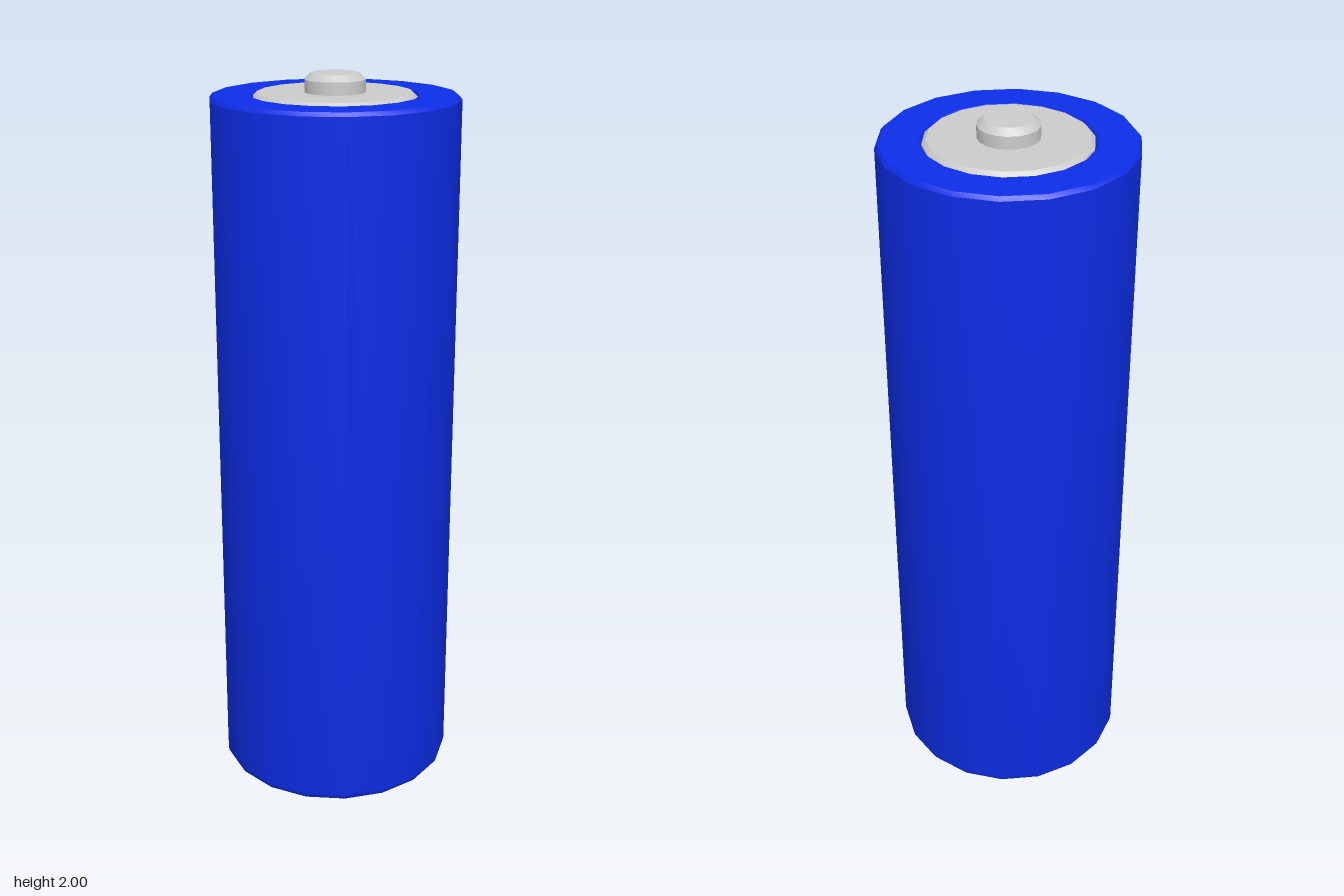
import * as THREE from 'three';
import { toCreasedNormals } from 'three/addons/utils/BufferGeometryUtils.js';

const SIDES = 18;

// Revolves a profile of [radius, y] pairs, listed from bottom to top
function turned(name, profile, material) {
  const points = profile.map(([r, y]) => new THREE.Vector2(r, y));
  const lathe = new THREE.LatheGeometry(points, SIDES, Math.PI / 2);
  // Smooth around the axis, sharp at the bevels
  const mesh = new THREE.Mesh(toCreasedNormals(lathe, 0.5), material);
  mesh.name = name;
  return mesh;
}

export function createModel() {
  const group = new THREE.Group();
  group.name = 'battery';

  const blue = new THREE.MeshStandardMaterial({ color: 0x0d2de8 });
  const grey = new THREE.MeshStandardMaterial({ color: 0xcccccc });

  // Casing: rounded lower edge, straight wall, bevelled rim and shallow recess
  const casing = [[0, 0]];
  const round = 0.03;
  for (let i = 0; i <= 4; i++) {
    const a = (i / 4) * Math.PI / 2;
    casing.push([0.33 - round + round * Math.sin(a), round - round * Math.cos(a)]);
  }
  casing.push([0.33, 1.935], [0.322, 1.945], [0.222, 1.945], [0.216, 1.937], [0.216, 1.92], [0, 1.92]);
  group.add(turned('casing', casing, blue));

  // Metal plate set into the recess
  group.add(turned('topPlate', [[0, 1.921], [0.215, 1.921], [0.215, 1.941], [0.204, 1.951], [0, 1.951]], grey));

  // Raised contact button
  group.add(turned('contactButton', [[0.08, 1.945], [0.08, 1.984], [0.063, 2], [0, 2]], grey));

  return group;
}
